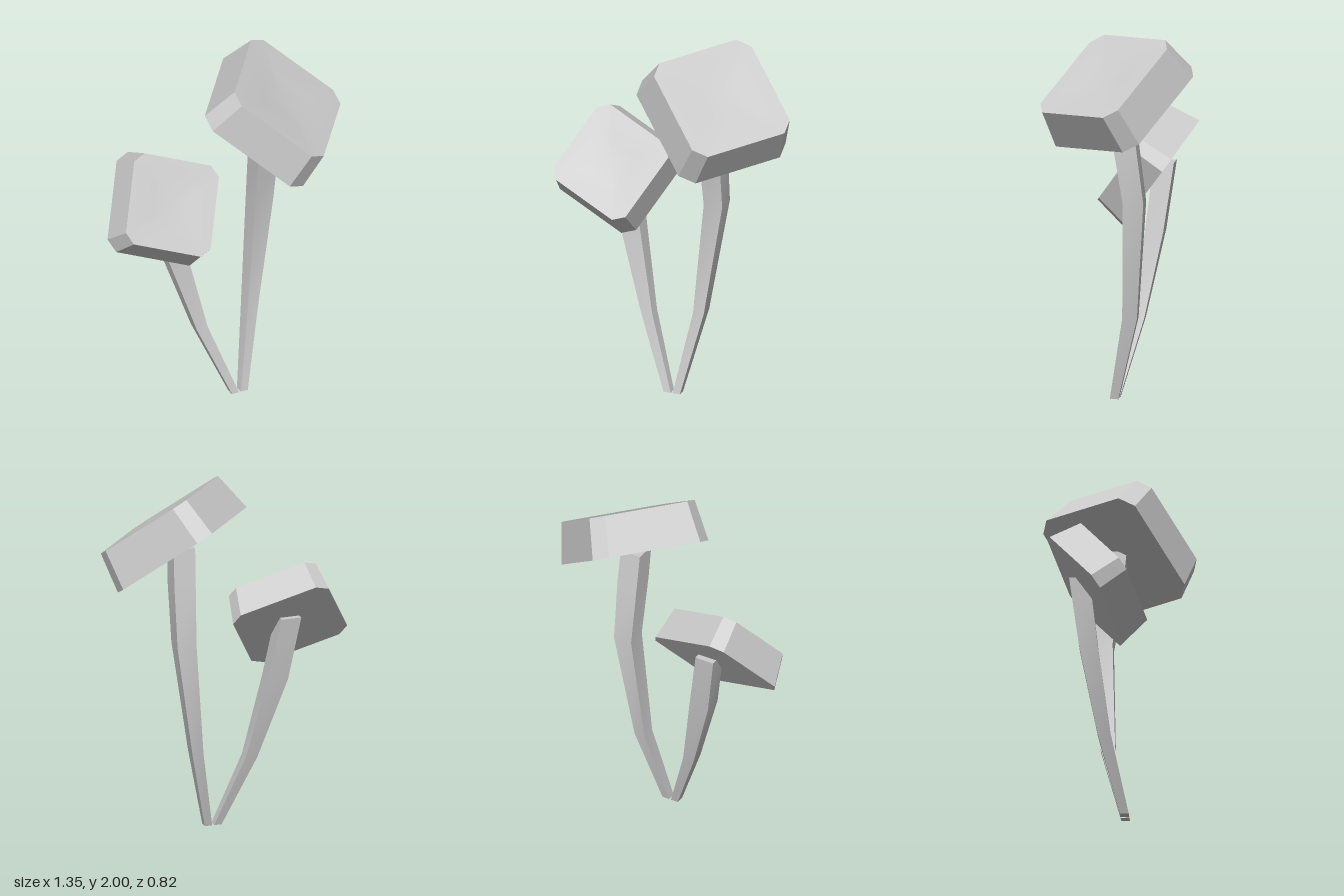
import * as THREE from 'three';
import { toCreasedNormals } from 'three/addons/utils/BufferGeometryUtils.js';

const V = (x, y, z) => new THREE.Vector3(x, y, z);
const material = new THREE.MeshStandardMaterial({ color: 0xcccccc });

// Skin stacked rings (bottom to top, anticlockwise from above) and close both ends.
function loft(rings, dip = 0) {
  const pos = [];
  const tri = (...pts) => pts.forEach((p) => pos.push(p.x, p.y, p.z));
  const centre = (ring) => ring.reduce((s, p) => s.add(p), V(0, 0, 0)).divideScalar(ring.length);
  const n = rings[0].length;
  const first = rings[0], last = rings[rings.length - 1];
  const low = centre(first), high = centre(last);
  high.y -= dip;
  for (let j = 0; j < n; j++) {
    const k = (j + 1) % n;
    for (let i = 0; i < rings.length - 1; i++) {
      const a = rings[i], b = rings[i + 1];
      tri(a[j], a[k], b[k]);
      tri(a[j], b[k], b[j]);
    }
    tri(low, first[k], first[j]);
    tri(high, last[j], last[k]);
  }
  const geometry = new THREE.BufferGeometry();
  geometry.setAttribute('position', new THREE.Float32BufferAttribute(pos, 3));
  return toCreasedNormals(geometry, 0.6);
}

// Square with cut corners.
function octagon(size, y) {
  const a = 0.303 * size, b = 0.238 * size;
  return [[a, b], [b, a], [-b, a], [-a, b], [-a, -b], [-b, -a], [b, -a], [a, -b]]
    .map(([x, z]) => V(x, y, -z));
}

// Cap: chamfered slab, slightly wider below, with a shallow hollow on top.
const capGeometry = loft([octagon(1.1, -0.226), octagon(1, 0), octagon(0.42, -0.006)], 0.018);

function makeCap(name, centre, xAxis, normal, scale) {
  const y = normal.normalize();
  const z = xAxis.clone().cross(y).normalize();
  const x = y.clone().cross(z);
  const cap = new THREE.Mesh(capGeometry, material);
  cap.name = name;
  cap.quaternion.setFromRotationMatrix(new THREE.Matrix4().makeBasis(x, y, z));
  cap.position.copy(centre);
  cap.scale.setScalar(scale);
  return cap;
}

// Stem: square sections given as [x, y, z, width, depth].
function makeStem(name, sections) {
  const rings = sections.map(([x, y, z, w, d]) =>
    [[1, 1], [1, -1], [-1, -1], [-1, 1]].map(([i, k]) => V(x + i * w / 2, y, z + k * d / 2)));
  const stem = new THREE.Mesh(loft(rings), material);
  stem.name = name;
  return stem;
}

export function createModel() {
  const group = new THREE.Group();
  group.name = 'mushrooms';

  // Tall mushroom
  group.add(makeStem('tallStem', [
    [0.065, 0, 0.04, 0.042, 0.046],
    [0.16, 0.46, -0.06, 0.062, 0.08],
    [0.237, 1.1, -0.093, 0.107, 0.112],
    [0.235, 1.44, -0.043, 0.12, 0.125],
    [0.23, 1.64, -0.02, 0.12, 0.12],
  ]));
  group.add(makeCap('tallCap', V(0.328, 1.8, 0.06), V(0.649, -0.603, 0.465), V(0.443, 0.796, 0.412), 1));

  // Short mushroom
  group.add(makeStem('shortStem', [
    [0.012, 0, 0.04, 0.042, 0.046],
    [-0.143, 0.41, -0.06, 0.066, 0.07],
    [-0.262, 0.87, -0.135, 0.115, 0.1],
    [-0.325, 1.235, -0.178, 0.11, 0.11],
  ]));
  group.add(makeCap('shortCap', V(-0.337, 1.278, 0), V(0.912, -0.349, 0.22), V(0.03, 0.589, 0.807), 0.825));

  return group;
}
